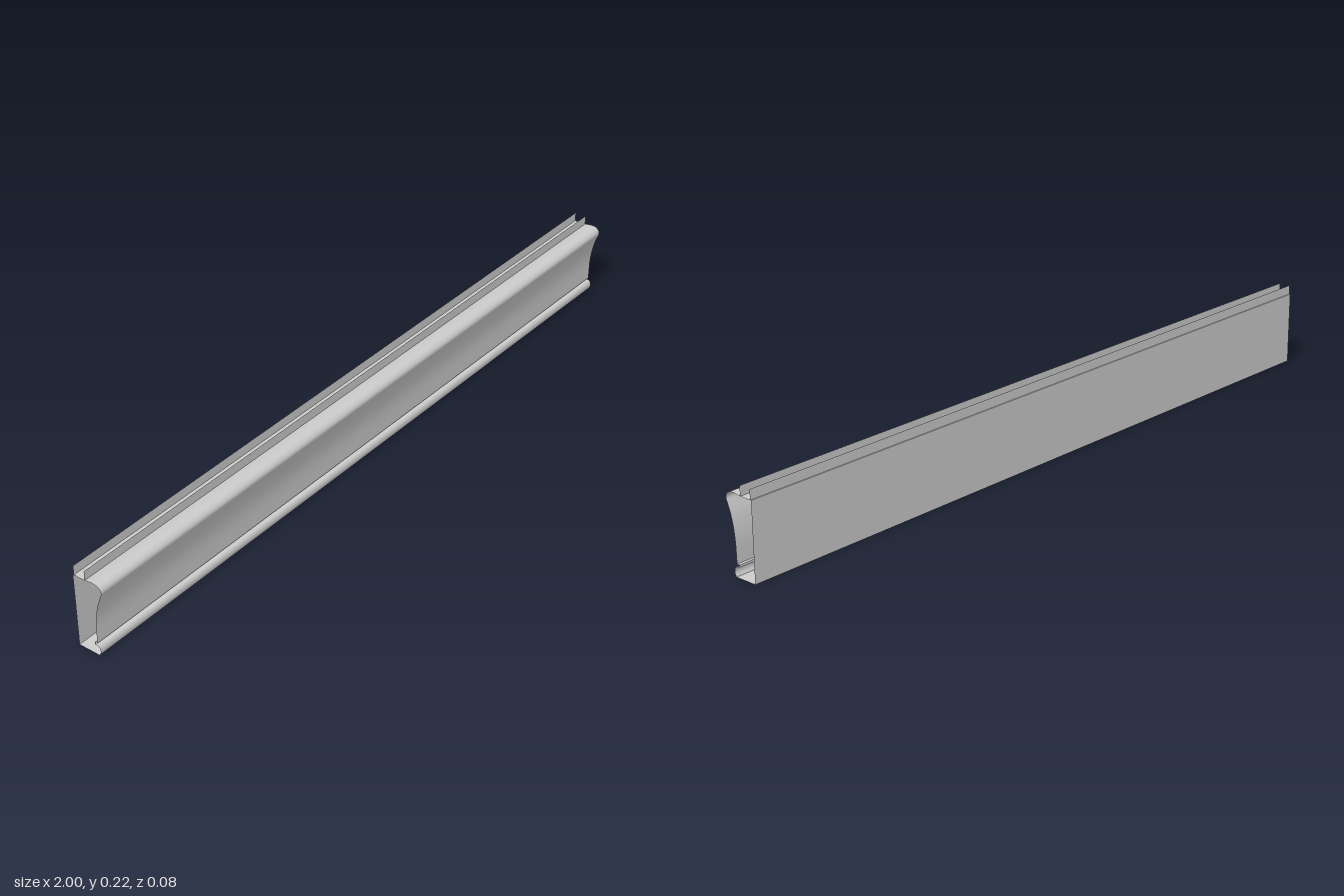
import * as THREE from 'three';

const LENGTH = 2;
const material = new THREE.MeshStandardMaterial({ color: 0xcccccc, side: THREE.DoubleSide });

// Thin sheet: a cross-section of [z, y] points swept along x, smooth within the sheet
function sheet(name, points) {
  const positions = [], index = [];
  points.forEach(([z, y], i) => {
    positions.push(-LENGTH / 2, y, z, LENGTH / 2, y, z);
    if (i > 0) {
      const a = 2 * (i - 1);
      index.push(a, a + 2, a + 1, a + 1, a + 2, a + 3);
    }
  });
  const geometry = new THREE.BufferGeometry();
  geometry.setAttribute('position', new THREE.Float32BufferAttribute(positions, 3));
  geometry.setIndex(index);
  geometry.computeVertexNormals();
  const mesh = new THREE.Mesh(geometry, material);
  mesh.name = name;
  return mesh;
}

// Rounded cross-section through a few points
function curved(points, divisions) {
  const curve = new THREE.SplineCurve(points.map(([z, y]) => new THREE.Vector2(z, y)));
  return curve.getPoints(divisions).map((p) => [p.x, p.y]);
}

// Flat strips between consecutive points, with sharp edges
function folded(name, points) {
  const group = new THREE.Group();
  group.name = name;
  for (let i = 1; i < points.length; i++) {
    group.add(sheet(name + 'Strip' + i, [points[i - 1], points[i]]));
  }
  return group;
}

export function createModel() {
  const model = new THREE.Group();
  model.name = 'hollowMoulding';

  // Flat back wall with a slightly set-in upper flange
  model.add(folded('backWall', [[-0.041, 0], [-0.041, 0.197], [-0.038, 0.197], [-0.038, 0.222]]));

  // Channel floor and front flange of the top slot
  model.add(folded('topChannel', [[-0.038, 0.197], [-0.006, 0.197], [-0.006, 0.222]]));

  // Rounded nose flowing down into a long cove
  model.add(sheet('frontCove', curved([
    [-0.006, 0.197], [0.012, 0.2], [0.028, 0.199], [0.038, 0.192], [0.041, 0.182],
    [0.036, 0.168], [0.028, 0.146], [0.021, 0.115], [0.017, 0.08], [0.016, 0.032],
  ], 48)));

  // Narrow groove between cove and bottom bead
  model.add(folded('bottomGroove', [[0.016, 0.032], [0.008, 0.032], [0.008, 0.026], [0.014, 0.026]]));

  // Rounded bead along the lower front edge
  model.add(sheet('bottomBead', curved([
    [0.014, 0.026], [0.02, 0.024], [0.024, 0.017], [0.024, 0.008], [0.02, 0],
  ], 16)));

  // Underside
  model.add(sheet('bottomWall', [[0.02, 0], [-0.041, 0]]));

  return model;
}
